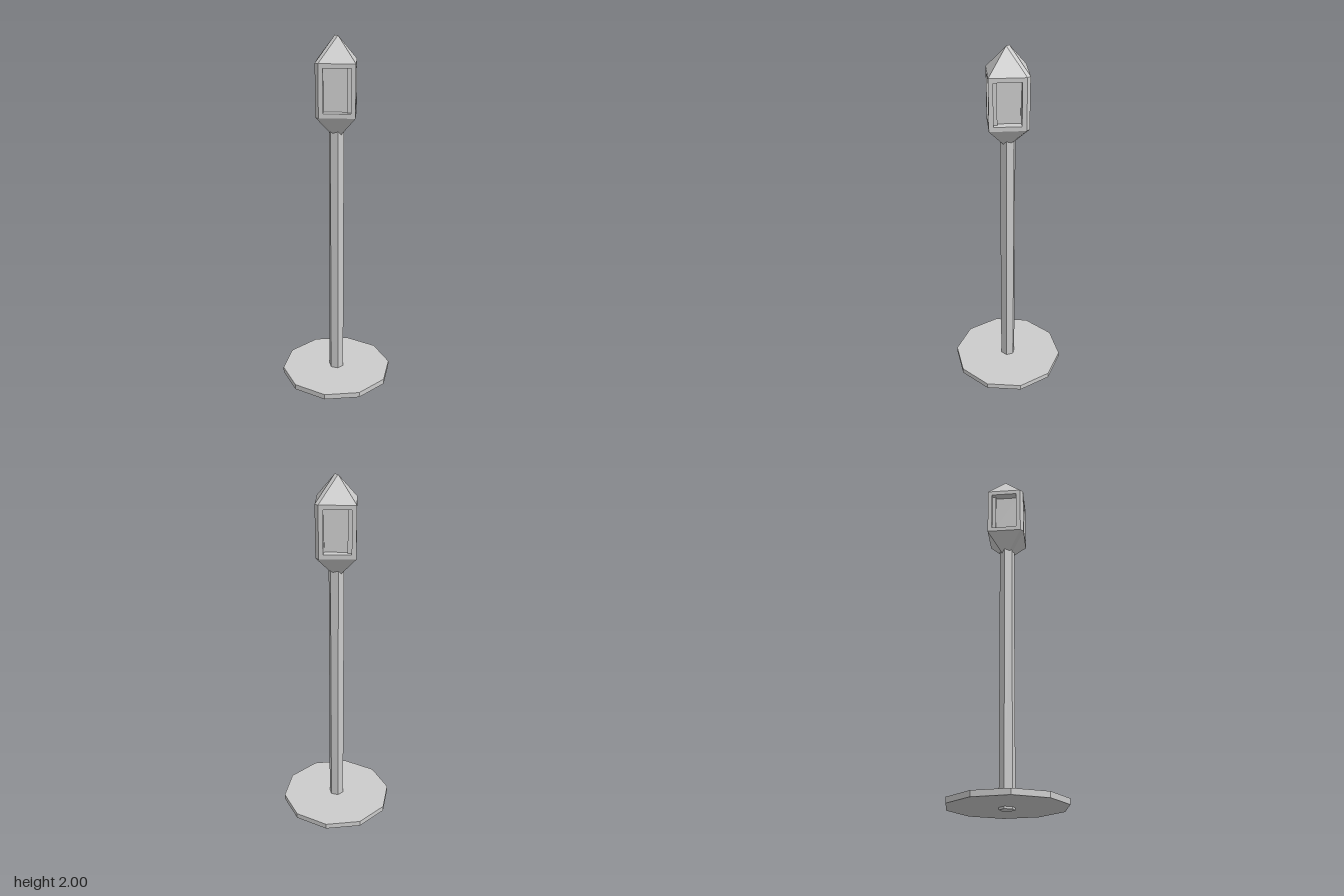
import * as THREE from 'three';

const material = new THREE.MeshStandardMaterial({ color: 0xcccccc, flatShading: true, side: THREE.DoubleSide });

// Mesh from a list of polygons (3 or 4 corners each, counter-clockwise)
function polyMesh(name, polys) {
  const pos = [];
  for (const [a, b, c, d] of polys) {
    for (const v of d ? [a, b, c, a, c, d] : [a, b, c]) pos.push(v.x, v.y, v.z);
  }
  const g = new THREE.BufferGeometry();
  g.setAttribute('position', new THREE.Float32BufferAttribute(pos, 3));
  g.computeVertexNormals();
  const mesh = new THREE.Mesh(g, material);
  mesh.name = name;
  return mesh;
}

// Upright prism with a corner pointing along x
function prism(name, radius, y0, y1, sides) {
  const g = new THREE.CylinderGeometry(radius, radius, y1 - y0, sides, 1, false, Math.PI / 2);
  const mesh = new THREE.Mesh(g, material);
  mesh.name = name;
  mesh.position.y = (y0 + y1) / 2;
  return mesh;
}

const V = (x, y, z) => new THREE.Vector3(x, y, z);

// Lantern plan: a diamond whose left and right corners are cut to narrow strips
const W = 0.137, D = 0.148, R = 0.0125;
const plan = [[0, D], [W, R], [W, -R], [0, -D], [-W, -R], [-W, R]];
const ridge = [R, R, -R, -R, -R, R];
const Y = { tip: 1.46, low: 1.59, high: 1.87, top: 2 };
const MARGIN = 0.024, DEPTH = 0.045;

// Wall panel with a recessed window: frame, reveals and back pane
function windowPanel(corners) {
  const [a, b, , d] = corners;
  const u = b.clone().sub(a).normalize();
  const v = d.clone().sub(a).normalize();
  const inward = v.clone().cross(u).multiplyScalar(DEPTH);
  const signs = [[1, 1], [-1, 1], [-1, -1], [1, -1]];
  const inner = corners.map((c, i) => c.clone()
    .addScaledVector(u, MARGIN * signs[i][0]).addScaledVector(v, MARGIN * signs[i][1]));
  const back = inner.map(c => c.clone().add(inward));
  const polys = [back];
  for (let i = 0; i < 4; i++) {
    const j = (i + 1) % 4;
    polys.push([corners[i], corners[j], inner[j], inner[i]]);
    polys.push([inner[i], inner[j], back[j], back[i]]);
  }
  return polyMesh('windowPanel', polys);
}

function buildLantern() {
  const lantern = new THREE.Group();
  lantern.name = 'lantern';
  const roof = [], underside = [];
  plan.forEach(([px, pz], i) => {
    const j = (i + 1) % 6, [qx, qz] = plan[j];
    const at = (y) => [V(px, y, pz), V(qx, y, qz)];
    const [p0, q0] = at(Y.low), [p1, q1] = at(Y.high);
    const end = (y, k) => V(0, y, ridge[k]);
    const strip = px === qx;

    // Sides: plain narrow strips and four windowed faces
    if (strip) lantern.add(polyMesh('cornerStrip', [[p0, q0, q1, p1]]));
    else lantern.add(windowPanel([p0, q0, q1, p1]));

    // Hipped roof and its mirrored underside, each meeting in a short ridge
    roof.push(strip ? [p1, q1, end(Y.top, j), end(Y.top, i)] : [p1, q1, end(Y.top, i)]);
    underside.push(strip ? [q0, p0, end(Y.tip, i), end(Y.tip, j)] : [q0, p0, end(Y.tip, i)]);
  });
  lantern.add(polyMesh('roof', roof), polyMesh('underside', underside));
  return lantern;
}

export function createModel() {
  const model = new THREE.Group();
  model.name = 'lampPost';
  model.add(
    prism('base', 0.322, 0.012, 0.043, 10),
    prism('pole', 0.043, 0, 1.505, 6),
    buildLantern(),
  );
  return model;
}
